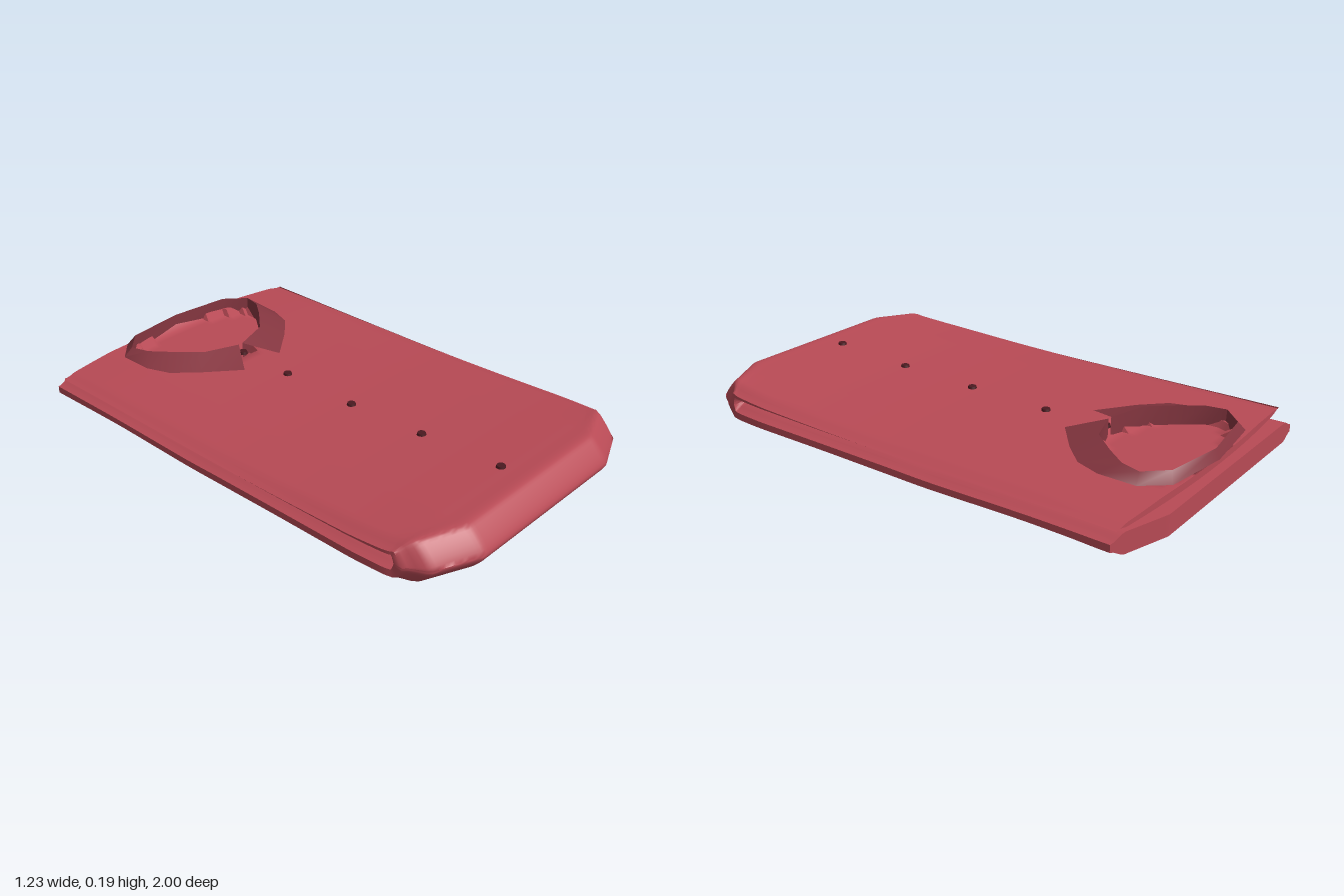
import * as THREE from 'three';
import { toCreasedNormals } from 'three/addons/utils/BufferGeometryUtils.js';

const cloth = new THREE.MeshStandardMaterial({ color: 0xb84a55 });
const collarCloth = new THREE.MeshStandardMaterial({ color: 0x853640, side: THREE.DoubleSide });
const buttonMat = new THREE.MeshStandardMaterial({ color: 0x4a1a20 });

function makeGeometry(positions, index, crease) {
  const g = new THREE.BufferGeometry();
  g.setAttribute('position', new THREE.Float32BufferAttribute(positions, 3));
  g.setIndex(index);
  return toCreasedNormals(g, crease);
}

// Smooth curve through [z, y] points
const profile = pts =>
  new THREE.CatmullRomCurve3(pts.map(([z, y]) => new THREE.Vector3(0, y, z)), false, 'catmullrom', 0.35);

// Egg-shaped neck opening
const inNeck = (x, z) => (x / 0.32) ** 2 + ((z + 0.82) / (z > -0.82 ? 0.27 : 0.145)) ** 2 < 1;

// Folded cloth: a thick strip running from the upper back, round the front fold, to the lower back
function foldedBody() {
  const outer = profile([[-0.98, 0.135], [-0.7, 0.14], [-0.4, 0.142], [0, 0.146], [0.3, 0.155], [0.6, 0.17],
    [0.84, 0.186], [0.93, 0.185], [1, 0.1], [0.94, 0.026], [0.85, 0.02], [0.6, 0.02], [0.3, 0.018],
    [0, 0.012], [-0.2, 0.01], [-0.6, 0.016], [-1, 0.004]]);
  const inner = profile([[-0.98, 0.108], [-0.7, 0.106], [-0.4, 0.105], [0, 0.105], [0.3, 0.107], [0.6, 0.11],
    [0.8, 0.108], [0.82, 0.107], [0.83, 0.104], [0.82, 0.101], [0.8, 0.1], [0.6, 0.098], [0.3, 0.094],
    [0, 0.09], [-0.2, 0.085], [-0.6, 0.086], [-1, 0.085]]);
  const rows = 128, n = 81, ring = 2 * n;
  const pos = [], idx = [];
  const smooth = THREE.MathUtils.smoothstep;

  for (let i = 0; i <= rows; i++) {
    const t = i / rows, upper = t < 0.5;
    const o = outer.getPoint(t), q = inner.getPoint(t);
    const mid = o.clone().lerp(q, 0.5);
    for (let k = 0; k < ring; k++) {
      const isOuter = k < n;
      const u = ((isOuter ? k : ring - 1 - k) / (n - 1)) * 2 - 1;
      const a = Math.abs(u);
      const p = mid.clone().lerp(isOuter ? o : q, 1 - 0.65 * smooth(a, 0.9, 1));
      const x = u * (0.617 - 0.018 * smooth(p.z, 0.6, 0.95));
      const side = Math.max(0, Math.abs(x) - 0.37) / 0.23;
      // Slanted front corners and back corners
      p.z -= 0.1 * side * smooth(p.z, 0.75, 0.95);
      const back = smooth(-p.z, 0.75, 0.98);
      if (upper) p.z += 0.035 * a * a * back;
      else if (x > 0) p.z += 0.07 * side * back;
      // Shoulders and sides slope down a little
      if (isOuter && upper) p.y -= 0.014 * side;
      if (isOuter && upper && inNeck(x, p.z)) p.y = q.y + 0.004;
      pos.push(x, p.y, p.z);
    }
  }
  for (let i = 0; i < rows; i++) {
    for (let k = 0; k < ring; k++) {
      const a = i * ring + k, b = i * ring + (k + 1) % ring;
      idx.push(a, a + ring, b, b, a + ring, b + ring);
    }
  }
  // Open back edges of both layers
  const end = rows * ring;
  for (let k = 0; k < n - 1; k++) {
    const a = k, b = k + 1, c = ring - 2 - k, d = ring - 1 - k;
    idx.push(a, b, d, b, c, d);
    idx.push(end + a, end + d, end + b, end + b, end + d, end + c);
  }
  return makeGeometry(pos, idx, 0.9);
}

// Collar: ribbon from the neck band up to the crease and down to the flap edge
function collarGeometry() {
  const crease = [[0.01, 0.183, -0.55], [0.16, 0.187, -0.6], [0.25, 0.187, -0.7], [0.31, 0.185, -0.78],
    [0.33, 0.182, -0.86], [0.25, 0.18, -0.94], [0, 0.176, -0.975]];
  const flap = [[0.1, 0.147, -0.42], [0.24, 0.15, -0.53], [0.33, 0.15, -0.62], [0.365, 0.148, -0.72],
    [0.365, 0.146, -0.87], [0.28, 0.142, -0.96], [0, 0.138, -0.992]];
  const band = crease.map(([x, , z]) => [x * 0.98, 0.108, z]);
  const bothSides = r => [...r, ...r.slice(0, -1).reverse().map(([x, y, z]) => [-x, y, z])];
  const rails = [band, crease, flap].map(bothSides);
  const n = rails[0].length, idx = [];
  for (let r = 0; r < 2; r++) {
    for (let i = 0; i < n - 1; i++) {
      const a = r * n + i, b = a + 1, c = a + n, d = b + n;
      idx.push(a, b, c, b, d, c);
    }
  }
  return makeGeometry(rails.flat(2), idx, 0.7);
}

export function createModel() {
  const shirt = new THREE.Group();
  shirt.name = 'foldedShirt';
  const add = (name, geometry, material) => {
    const m = new THREE.Mesh(geometry, material);
    m.name = name;
    shirt.add(m);
    return m;
  };

  add('foldedBody', foldedBody(), cloth);
  add('collar', collarGeometry(), collarCloth);

  // Buttons down the front, the first one at the neck
  const buttonShape = new THREE.CylinderGeometry(0.016, 0.019, 0.012, 16);
  [[0, 0.15, -0.535], [0, 0.146, -0.27], [-0.01, 0.151, 0.09], [-0.01, 0.164, 0.44], [-0.015, 0.186, 0.8]]
    .forEach(([x, y, z], i) => add('button' + (i + 1), buttonShape, buttonMat).position.set(x, y, z));

  return shirt;
}
